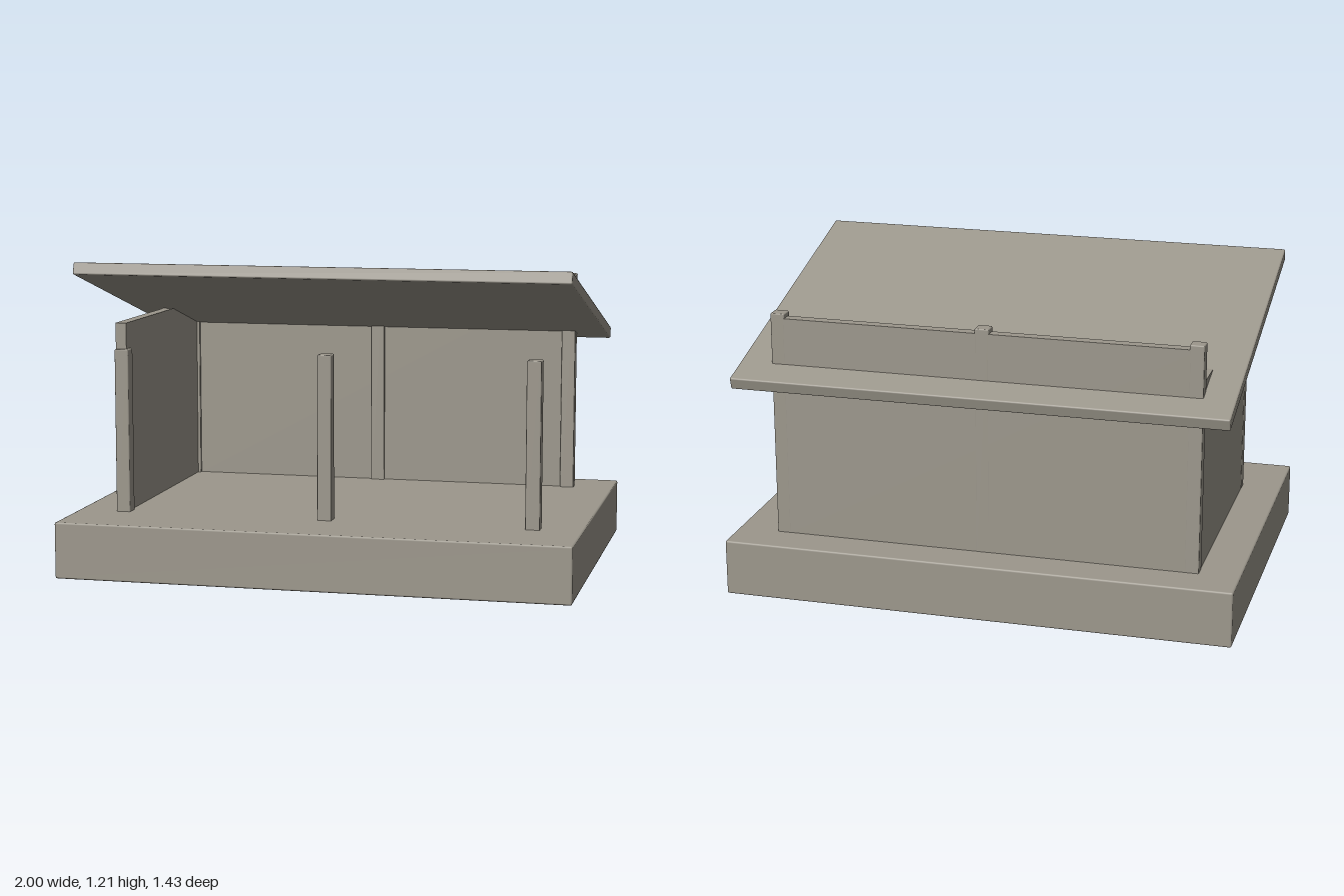
import * as THREE from 'three';
import { RoundedBoxGeometry } from 'three/addons/geometries/RoundedBoxGeometry.js';

export function createModel() {
  const model = new THREE.Group();
  model.name = 'shelter';
  const stone = new THREE.MeshStandardMaterial({ color: 0x9c978c });
  stone.name = 'warm grey';

  // Box given by its size and centre, with an optional small bevel
  function box(name, size, centre, bevel = 0) {
    const geometry = bevel
      ? new RoundedBoxGeometry(...size, 1, bevel)
      : new THREE.BoxGeometry(...size);
    const mesh = new THREE.Mesh(geometry, stone);
    mesh.name = name;
    mesh.position.set(...centre);
    model.add(mesh);
    return mesh;
  }

  // Thick floor slab
  const floorTop = 0.22;
  box('base', [2, floorTop, 1.43], [0, floorTop / 2, 0], 0.007);

  // Three short front posts and three tall back posts, sunk a little into the slab
  const foot = floorTop - 0.02;
  const rows = [
    { name: 'frontPost', z: 0.411, top: 0.863 },
    { name: 'backPost', z: -0.534, top: 1.112 },
  ];
  for (const { name, z, top } of rows) {
    for (const x of [-0.815, 0, 0.81]) {
      box(name, [0.056, top - foot, 0.058], [x, (top + foot) / 2, z], 0.005);
    }
  }

  // Back wall, nearly flush with the rear of the posts
  box('backWall', [1.64, 1.094 - foot, 0.043], [0, (1.094 + foot) / 2, -0.541]);

  // Single side wall; the other side stays open
  box('sideWall', [0.043, 0.965 - foot, 0.98], [-0.82, (0.965 + foot) / 2, -0.066]);

  // Sloping roof slab, raised at the front and cut by the back wall
  const roof = box('roof', [1.93, 0.048, 1.279], [0, 1.021, -0.0615], 0.006);
  roof.rotation.x = -THREE.MathUtils.degToRad(15);

  return model;
}
